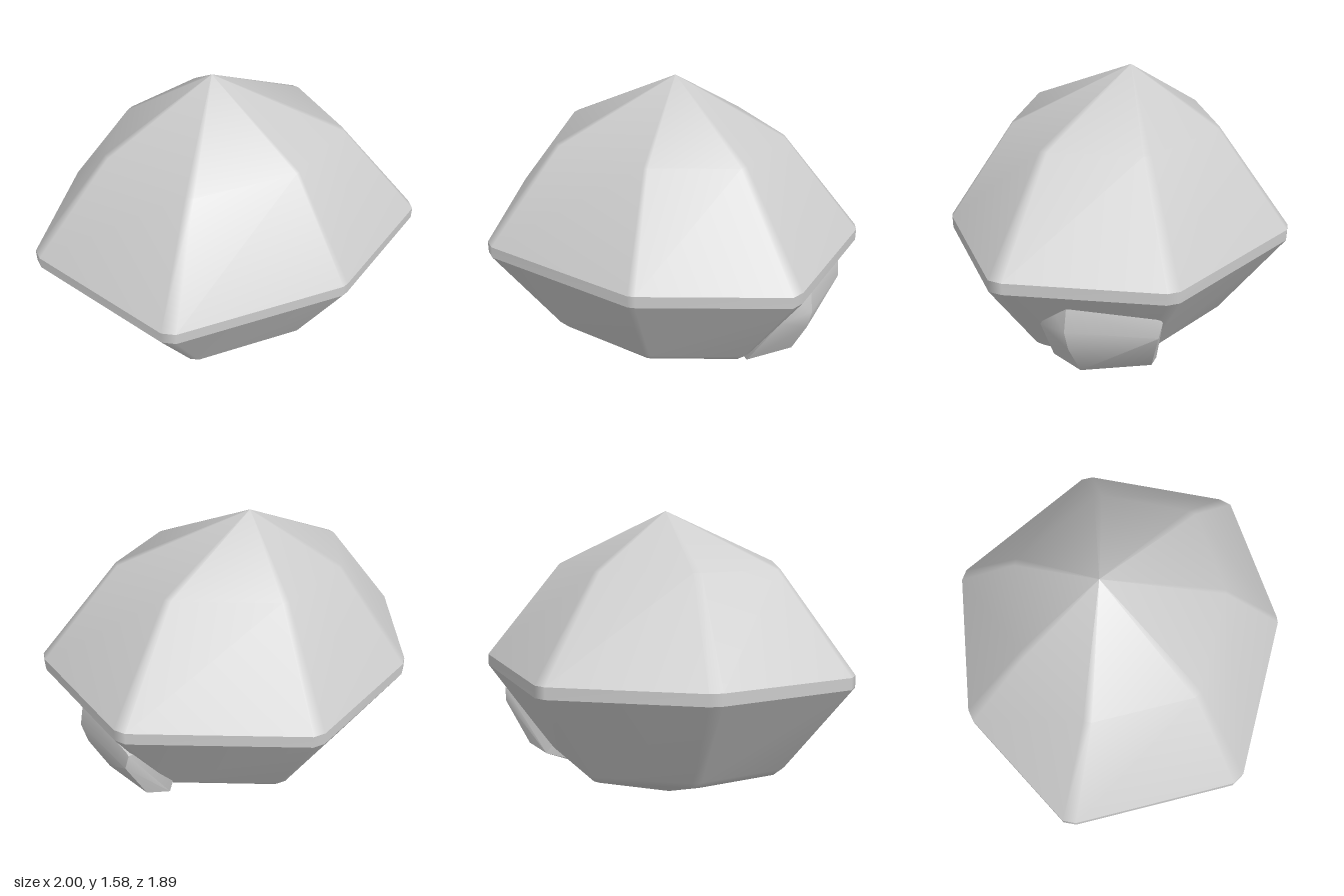
import * as THREE from 'three';
import { toCreasedNormals } from 'three/addons/utils/BufferGeometryUtils.js';
import { ConvexGeometry } from 'three/addons/geometries/ConvexGeometry.js';

// Seven-sided girdle outline as [x, z], each corner clipped by a small bevel
const outline = [
  [-0.30, -0.93], [-0.24, -0.95], [0.61, -0.79], [0.66, -0.75],
  [0.99, -0.07], [1.0, 0.0], [0.58, 0.60], [0.555, 0.625],
  [-0.25, 0.945], [-0.32, 0.935], [-0.97, 0.41], [-1.0, 0.35],
  [-0.88, -0.35], [-0.85, -0.41],
];

// Joins scaled copies of the outline from bottom to top.
// Each level is { y, s, dx, dz }; s = 0 makes a point.
function loft(levels) {
  const n = outline.length, pos = [], index = [];
  for (const { y, s, dx = 0, dz = 0 } of levels) {
    for (const [x, z] of outline) pos.push(x * s + dx, y, z * s + dz);
  }
  for (let k = 0; k < levels.length - 1; k++) {
    for (let j = 0; j < n; j++) {
      const a = k * n + j, b = k * n + (j + 1) % n;
      if (levels[k].s > 0) index.push(a, a + n, b);
      if (levels[k + 1].s > 0) index.push(b, a + n, b + n);
    }
  }
  const geo = new THREE.BufferGeometry();
  geo.setAttribute('position', new THREE.Float32BufferAttribute(pos, 3));
  geo.setIndex(index);
  geo.computeVertexNormals();
  return geo;
}

export function createModel() {
  const group = new THREE.Group();
  const material = new THREE.MeshStandardMaterial({ color: 0xcccccc });
  const add = (name, geometry) => {
    const mesh = new THREE.Mesh(geometry, material);
    mesh.name = name;
    group.add(mesh);
  };

  // Upper half, rising to an off-centre peak
  add('crown', loft([
    { y: 0.80, s: 1 },
    { y: 1.30, s: 0.6, dx: -0.015 },
    { y: 1.58, s: 0, dx: -0.09, dz: -0.09 },
  ]));

  // Thin upright band round the widest part
  add('girdle', loft([{ y: 0.74, s: 1 }, { y: 0.80, s: 1 }]));

  // Lower half, narrowing to the bottom point
  add('base', loft([
    { y: 0, s: 0, dx: 0.03, dz: 0.02 },
    { y: 0.235, s: 0.615 },
    { y: 0.275, s: 0.66 },
    { y: 0.74, s: 1 },
  ]));

  // Faceted lump growing out of the lower side
  const lump = [
    [0.81, 0.65, -0.30], [0.83, 0.53, -0.30], [0.80, 0.42, -0.30],
    [0.70, 0.24, -0.30], [0.43, 0.12, -0.30], [0.35, 0.14, -0.30],
    [0.61, 0.61, -0.68], [0.60, 0.60, -0.70], [0.62, 0.52, -0.69],
    [0.52, 0.28, -0.60], [0.40, 0.24, -0.56],
    [0.79, 0.62, -0.20], [0.79, 0.50, -0.13],
    [0.61, 0.20, -0.07], [0.50, 0.16, -0.12],
    [0.25, 0.40, -0.20], [0.30, 0.50, -0.40],
  ].map((p) => new THREE.Vector3(...p));
  add('sideLump', toCreasedNormals(new ConvexGeometry(lump), 0.65));

  return group;
}
